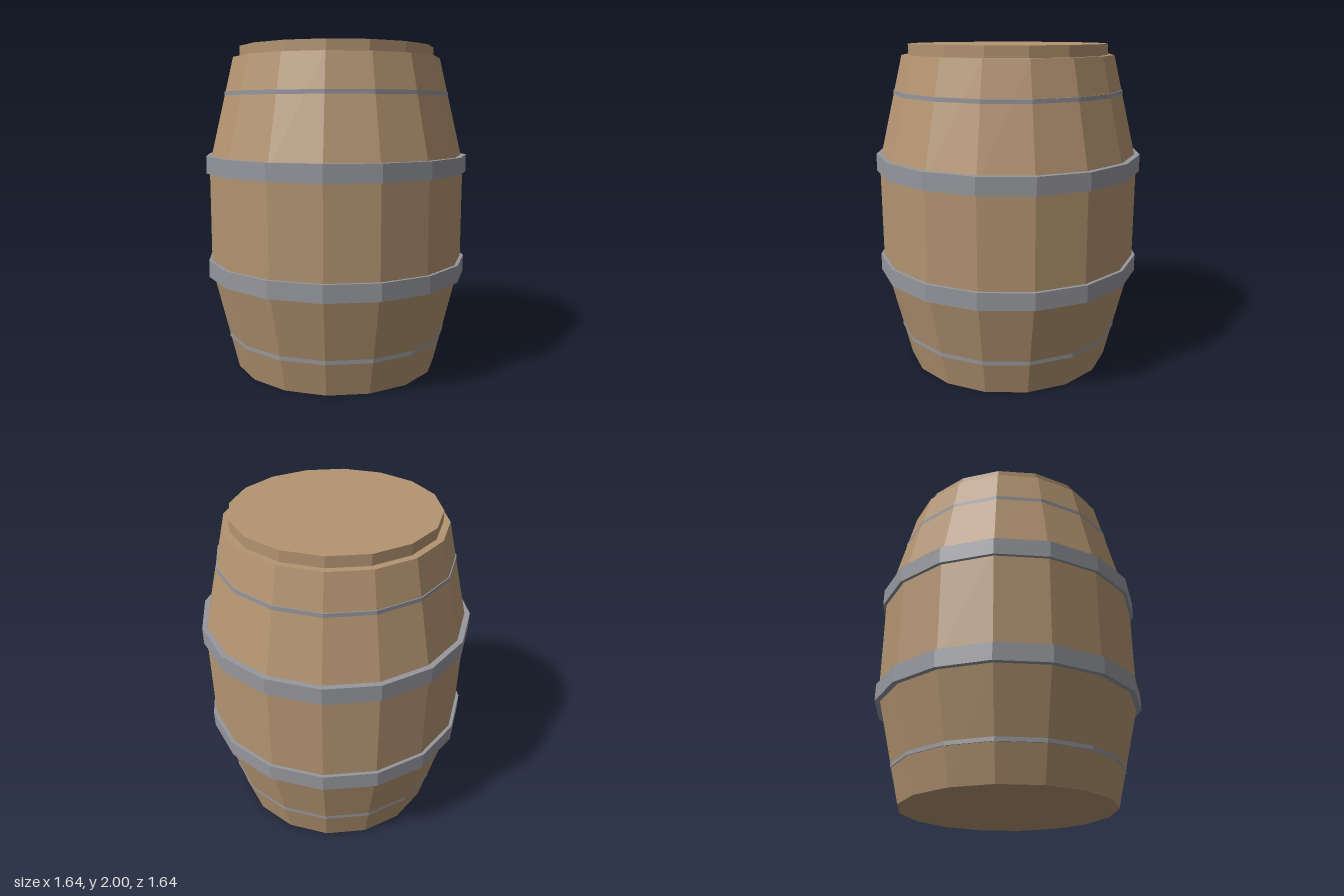
import * as THREE from 'three';

const SIDES = 16;

export function createModel() {
  const barrel = new THREE.Group();
  barrel.name = 'barrel';

  const wood = new THREE.MeshStandardMaterial({ color: 0xb39471 });
  wood.name = 'wood';
  const iron = new THREE.MeshStandardMaterial({ color: 0x96979d });
  iron.name = 'iron';
  wood.flatShading = iron.flatShading = true;

  // Faceted ring or tapered section standing between two heights
  function section(name, material, bottomRadius, topRadius, y0, y1, open = false) {
    const geometry = new THREE.CylinderGeometry(topRadius, bottomRadius, y1 - y0, SIDES, 1, open);
    const mesh = new THREE.Mesh(geometry, material);
    mesh.name = name;
    mesh.position.y = (y0 + y1) / 2;
    barrel.add(mesh);
  }

  // Wooden body: two tapered ends around a straight belly
  const third = 0.645, height = third * 3;
  section('lowerStaves', wood, 0.645, 0.8, 0, third);
  section('bellyStaves', wood, 0.8, 0.8, third, third * 2, true);
  section('upperStaves', wood, 0.8, 0.645, third * 2, height);
  section('lid', wood, 0.605, 0.605, height, 2);

  // Wide hoops at the belly edges
  for (const [name, y] of [['lowerHoop', 0.648], ['upperHoop', 1.292]]) {
    section(name, iron, 0.82, 0.82, y - 0.052, y + 0.052);
  }

  // Narrow hoops, mostly sunk into the tapered ends
  section('bottomHoop', iron, 0.7, 0.7, 0.205, 0.3);
  section('topHoop', iron, 0.7, 0.7, height - 0.3, height - 0.205);

  return barrel;
}
